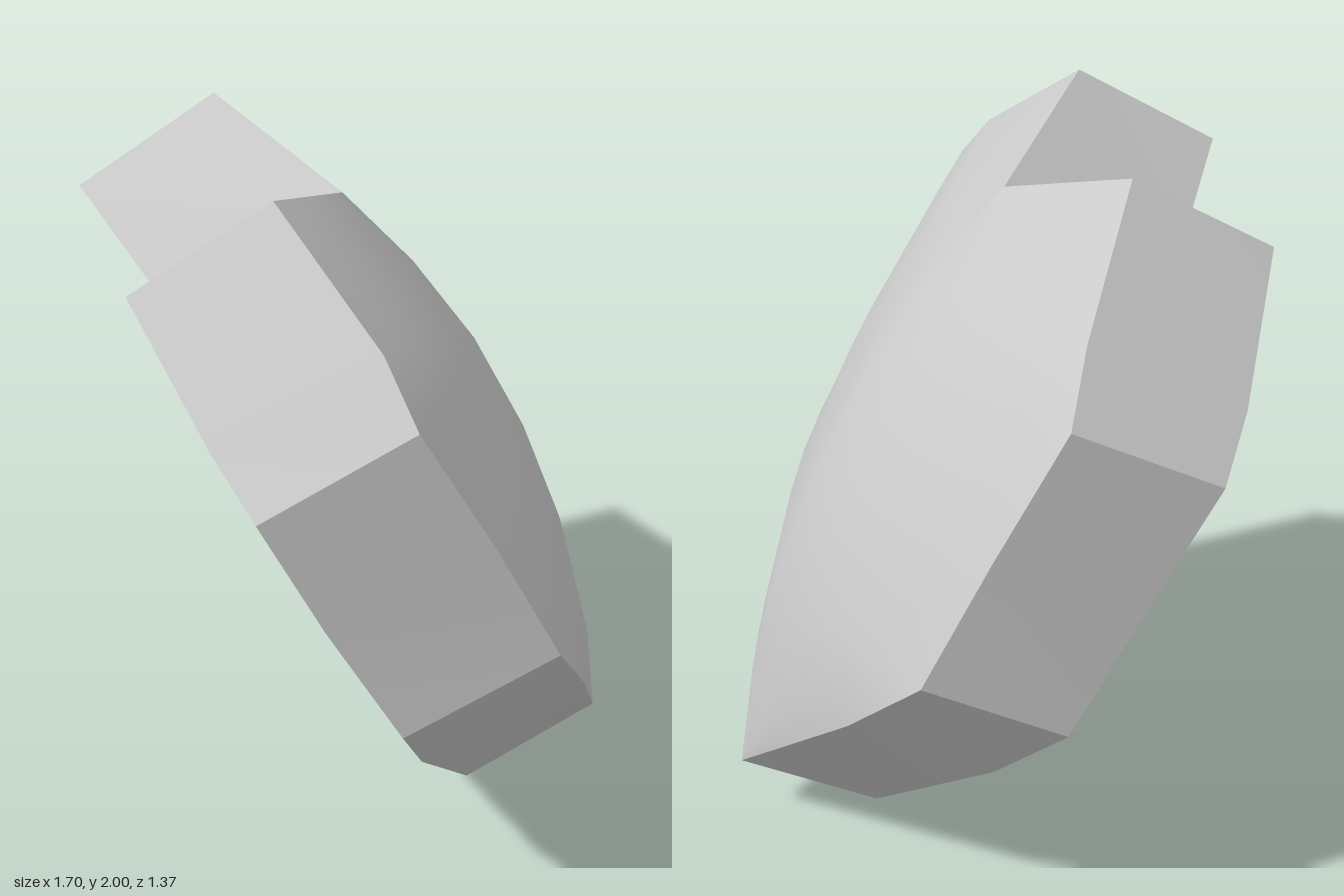
import * as THREE from 'three';
import { toCreasedNormals } from 'three/addons/utils/BufferGeometryUtils.js';

const pts = (list) => list.map((p) => new THREE.Vector3(...p));

// Rim corners and edge midpoints of each lobe, from the tip up to the crown
const frontTip = [0.18, 0, -0.32], backTip = [0.34, 0.18, -0.65];
const front = {
  left: pts([frontTip, [0.5, 0.47, 0.155], [0.66, 0.74, 0.37], [0.56, 1.07, 0.53],
    [0.49, 1.4, 0.68], [0.33, 1.52, 0.68], [0, 1.79, 0.66]]),
  right: pts([frontTip, [-0.41, 0.45, -0.35], [-0.69, 0.71, -0.33], [-0.77, 1.04, -0.17],
    [-0.85, 1.37, 0], [-0.77, 1.5, 0.13], [-0.57, 1.78, 0.37]]),
  ridge: pts([frontTip, [0.07, 0.52, -0.144], [0.02, 0.85, -0.005], [-0.08, 1.2, 0.16], [-0.2, 1.56, 0.37]]),
};
const back = {
  left: pts([backTip, [0.72, 0.67, -0.2], [0.85, 0.93, 0.03], [0.77, 1.26, 0.18],
    [0.68, 1.6, 0.35], [0.54, 1.74, 0.335], [0.17, 2, 0.35]]),
  right: pts([backTip, [-0.26, 0.65, -0.69], [-0.54, 0.9, -0.66], [-0.62, 1.23, -0.51],
    [-0.71, 1.57, -0.35], [-0.6, 1.71, -0.22], [-0.42, 1.99, 0.05]]),
  ridge: pts([backTip, [0.27, 0.64, -0.61], [0.18, 1.08, -0.49], [0.09, 1.5, -0.28], [-0.01, 1.84, -0.02]]),
};
const backward = new THREE.Vector3(0.4, 0.48, -0.78);
const ROWS = 6, COLS = 5;

// Ridge curve sampled once per rim point
function ridgeRows(side) {
  const curve = new THREE.CatmullRomCurve3(side.ridge);
  return side.left.map((_, i) => curve.getPoint(i / ROWS));
}

// Points across one row, with an optional bulge towards the back
function span(from, to, row, bulge) {
  return Array.from({ length: COLS + 1 }, (_, j) => {
    const lift = bulge * Math.sin(Math.PI * j / COLS) * Math.sin(Math.PI * row / ROWS);
    return from.clone().lerp(to, j / COLS).addScaledVector(backward, lift);
  });
}

// Smooth surface through rows of points; all rows start at the pointed tip
function sheet(rows, flip) {
  const n = rows[0].length, index = [];
  for (let i = 0; i < rows.length - 1; i++) {
    for (let j = 0; j < n - 1; j++) {
      const a = i * n + j, b = a + 1, c = a + n, d = c + 1;
      const tris = i === 0 ? [[a, d, c]] : [[a, b, d], [a, d, c]];
      for (const [p, q, r] of tris) index.push(...(flip ? [p, r, q] : [p, q, r]));
    }
  }
  const geometry = new THREE.BufferGeometry().setFromPoints(rows.flat());
  geometry.setIndex(index);
  geometry.computeVertexNormals();
  return geometry;
}

// Side walls joining the two heart-shaped rims
function walls() {
  const loop = (s) => [...s.left, s.ridge.at(-1), ...s.right.slice(1).reverse()];
  const f = loop(front), b = loop(back), corners = [];
  f.forEach((p, i) => {
    const k = (i + 1) % f.length;
    corners.push(p, b[i], f[k], f[k], b[i], b[k]);
  });
  return toCreasedNormals(new THREE.BufferGeometry().setFromPoints(corners), 0.5);
}

export function createModel() {
  const group = new THREE.Group();
  group.name = 'heartPlate';
  const material = new THREE.MeshStandardMaterial({ color: 0xcccccc });
  const add = (name, geometry) => {
    const mesh = new THREE.Mesh(geometry, material);
    mesh.name = name;
    group.add(mesh);
  };

  // Hollow front: two lobes meeting in a crease
  const fr = ridgeRows(front);
  add('frontLeftLobe', sheet(fr.map((p, i) => span(p, front.left[i], i, 0)), false));
  add('frontRightLobe', sheet(fr.map((p, i) => span(front.right[i], p, i, 0)), false));

  // Domed back: one continuous smooth surface
  const br = ridgeRows(back);
  add('domedBack', sheet(br.map((p, i) => [
    ...span(back.right[i], p, i, 0.035),
    ...span(p, back.left[i], i, 0.035).slice(1),
  ]), true));

  add('sideWalls', walls());
  return group;
}
